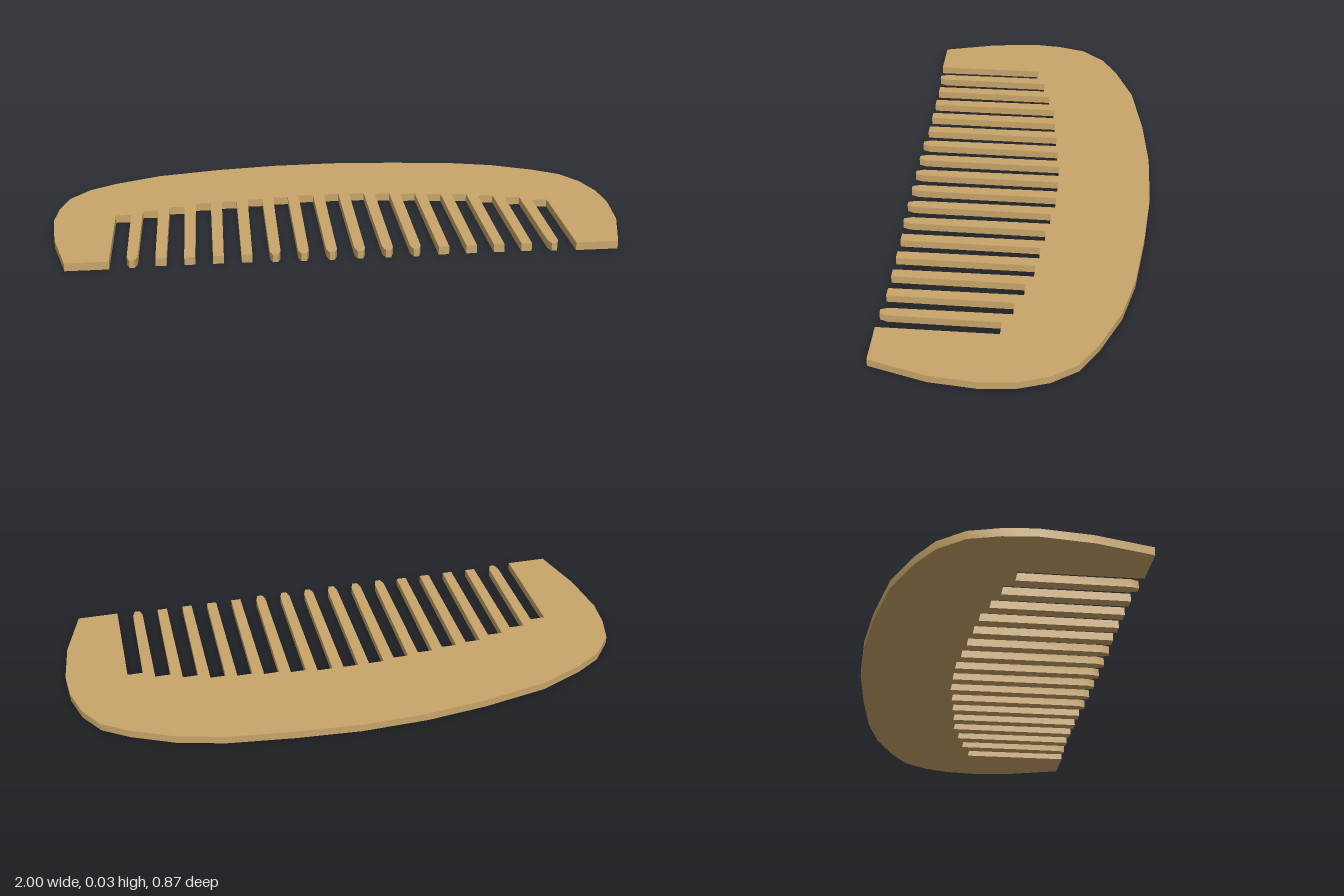
import * as THREE from 'three';
import { toCreasedNormals } from 'three/addons/utils/BufferGeometryUtils.js';

const THICKNESS = 0.028;
const GAPS = 17;
const PITCH = 0.0947;
const GAP_HALF = 0.027;
const FRONT = 0.43;

// Curved spine from the left-hand end to the right-hand end, as [x, z]
const SPINE = [
  [-0.93, 0.43], [-0.98, 0.235], [-1, 0.06], [-0.99, -0.045], [-0.963, -0.147],
  [-0.893, -0.233], [-0.8, -0.29], [-0.64, -0.358], [-0.41, -0.404], [-0.193, -0.43],
  [0.04, -0.436], [0.267, -0.42], [0.497, -0.393], [0.658, -0.353], [0.807, -0.286],
  [0.9, -0.227], [0.957, -0.142], [0.99, -0.04], [1, 0.07], [0.984, 0.235], [0.93, 0.43],
];

// Root of each gap, counted outwards from the middle
const GAP_ROOT = [-0.101, -0.1, -0.088, -0.077, -0.065, -0.055, -0.03, -0.003, 0.03];

// Tip of the tooth after gap i, running towards -x; some tips are bevelled
function addToothTip(points, i) {
  const centre = (i - (GAPS - 1) / 2 - 0.5) * PITCH;
  const half = 0.018;
  const bevelled = i === 1 || i === GAPS - 1 || (i >= 6 && i <= 11);
  if (bevelled) {
    points.push([centre + half, 0.4], [centre + 0.009, 0.427],
      [centre - 0.009, 0.427], [centre - half, 0.4]);
  } else {
    points.push([centre + half, 0.42], [centre - half, 0.42]);
  }
}

export function createModel() {
  const group = new THREE.Group();
  group.name = 'comb';
  const wood = new THREE.MeshStandardMaterial({ color: 0xc8a56a });
  wood.name = 'light wood';

  // Outline: round the spine, then back along the toothed edge
  const points = [...SPINE];
  const middle = (GAPS - 1) / 2;
  for (let i = GAPS - 1; i >= 0; i--) {
    const x = (i - middle) * PITCH;
    const root = GAP_ROOT[Math.abs(i - middle)];
    if (i === GAPS - 1) points.push([x + GAP_HALF, FRONT]);
    points.push([x + GAP_HALF, root], [x - GAP_HALF, root]);
    if (i === 0) points.push([x - GAP_HALF, FRONT]);
    else addToothTip(points, i);
  }

  const shape = new THREE.Shape(points.map(([x, z]) => new THREE.Vector2(x, -z)));
  let geometry = new THREE.ExtrudeGeometry(shape, { depth: THICKNESS, bevelEnabled: false });
  geometry.rotateX(-Math.PI / 2);
  geometry = toCreasedNormals(geometry, 0.55);

  const body = new THREE.Mesh(geometry, wood);
  body.name = 'spineAndTeeth';
  group.add(body);
  return group;
}
